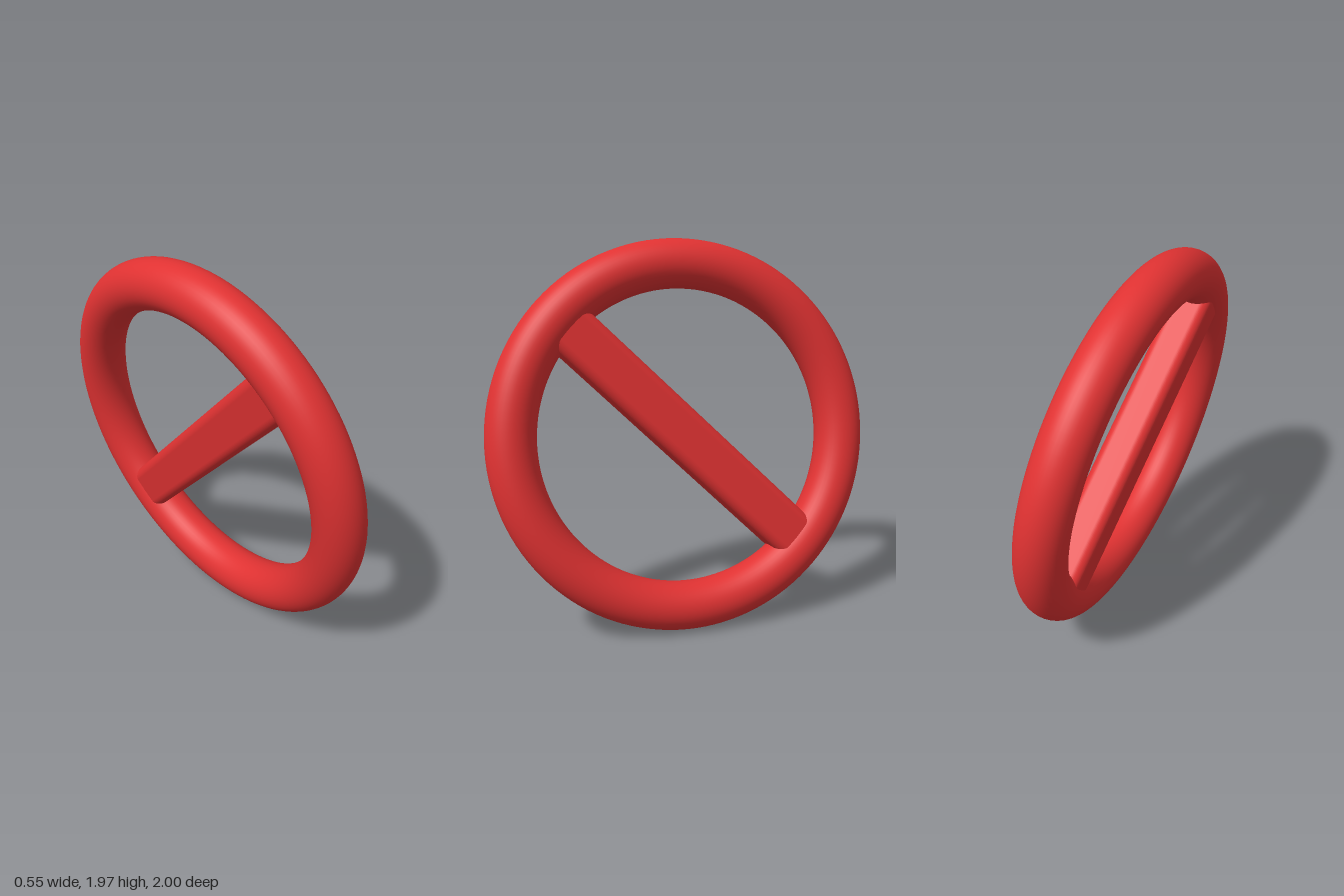
import * as THREE from 'three';

// Rounded rectangle used as the bar's cross-section
function roundedRect(hx, hy, r) {
  const s = new THREE.Shape();
  s.moveTo(hx, -hy + r);
  s.absarc(hx - r, hy - r, r, 0, Math.PI / 2);
  s.absarc(-hx + r, hy - r, r, Math.PI / 2, Math.PI);
  s.absarc(-hx + r, -hy + r, r, Math.PI, Math.PI * 1.5);
  s.absarc(hx - r, -hy + r, r, Math.PI * 1.5, Math.PI * 2);
  return s;
}

export function createModel() {
  const model = new THREE.Group();
  model.name = 'barredRing';
  const red = new THREE.MeshStandardMaterial({ color: 0xe03232 });
  red.name = 'red';

  const tilt = THREE.MathUtils.degToRad(10);
  const ringRadius = 0.875, tubeRadius = 0.125;

  // Everything leans sideways and rests on the bottom of the ring
  const sign = new THREE.Group();
  sign.name = 'tiltedSign';
  sign.rotation.z = tilt;
  sign.position.y = ringRadius * Math.cos(tilt) + tubeRadius;
  model.add(sign);

  // Ring standing in the y-z plane
  const ring = new THREE.Mesh(new THREE.TorusGeometry(ringRadius, tubeRadius, 40, 128), red);
  ring.name = 'ring';
  ring.rotation.y = Math.PI / 2;
  sign.add(ring);

  // Diagonal bar, its ends buried in the ring
  const length = 1.66;
  const barGeometry = new THREE.ExtrudeGeometry(roundedRect(0.1, 0.125, 0.05), {
    depth: length, bevelEnabled: false, curveSegments: 12,
  });
  barGeometry.translate(0, 0, -length / 2);
  const bar = new THREE.Mesh(barGeometry, red);
  bar.name = 'diagonalBar';
  bar.rotation.x = -Math.PI / 4;
  sign.add(bar);

  return model;
}
